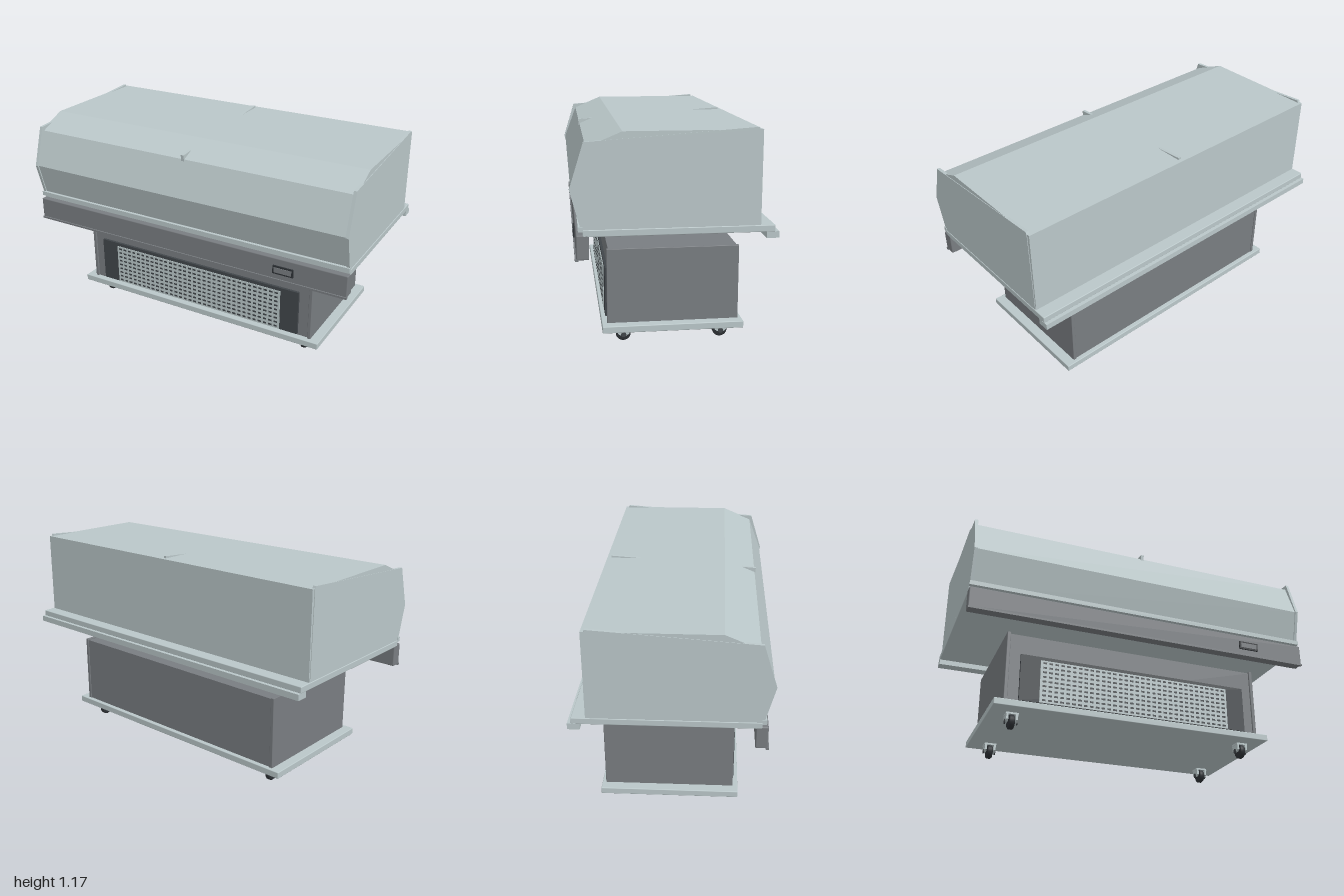
import * as THREE from 'three';
import { mergeGeometries } from 'three/addons/utils/BufferGeometryUtils.js';
import { RoundedBoxGeometry } from 'three/addons/geometries/RoundedBoxGeometry.js';

const material = (name, color) => {
  const m = new THREE.MeshStandardMaterial({ color });
  m.name = name;
  return m;
};

export function createModel() {
  const model = new THREE.Group();
  model.name = 'displayCase';
  const pale = material('pale grey', 0xbac7c9);
  const grey = material('mid grey', 0x797d81);
  const dark = material('charcoal', 0x41464a);
  const black = material('near black', 0x2e3236);

  const add = (name, geometry, mat, parent = model) => {
    const mesh = new THREE.Mesh(geometry, mat);
    mesh.name = name;
    parent.add(mesh);
    return mesh;
  };
  // Box given by its limits on each axis, with an optional edge radius
  const span = ([x0, x1], [y0, y1], [z0, z1], r = 0) => {
    const s = [x1 - x0, y1 - y0, z1 - z0];
    const g = r ? new RoundedBoxGeometry(...s, 2, r) : new THREE.BoxGeometry(...s);
    return g.translate((x0 + x1) / 2, (y0 + y1) / 2, (z0 + z1) / 2);
  };
  // Profile of [z, y] points extruded across x
  const across = (points, width, x = 0) => {
    const shape = new THREE.Shape(points.map(([z, y]) => new THREE.Vector2(z, y)));
    return new THREE.ExtrudeGeometry(shape, { depth: width, bevelEnabled: false })
      .translate(0, 0, -width / 2).rotateY(-Math.PI / 2).translate(x, 0, 0);
  };

  // Canopy skin with sloped brow and kinked front
  add('canopy', across([
    [0.455, 0.692], [0.508, 0.89], [0.433, 1.09], [0.26, 1.163],
    [-0.418, 1.163], [-0.418, 0.692],
  ], 1.988), pale);

  // End panels and centre frame, whose corners poke through the roof
  const frame = [[0.462, 0.692], [0.515, 0.89], [0.445, 1.115], [-0.395, 1.175],
    [-0.402, 1.16], [-0.412, 0.692]];
  for (const s of [-1, 1]) add('endPanel', across(frame, 0.017, s * 0.9885), pale);
  add('centreFrame', across([[0.4, 0.7], [0.44, 1.115], [-0.395, 1.175], [-0.4, 0.7]], 0.018), pale);

  // Deck with its front and rear rails
  add('deck', span([-1, 1], [0.658, 0.693], [-0.49, 0.455], 0.004), pale);
  add('frontRail', span([-1, 1], [0.684, 0.709], [0.453, 0.477]), pale);
  add('rearRail', span([-1, 1], [0.627, 0.66], [-0.51, -0.447]), pale);

  // Front bumper and control plate
  add('bumper', span([-1, 1], [0.544, 0.668], [0.425, 0.487], 0.006), grey);
  add('bumperLip', span([-1, 1], [0.538, 0.549], [0.477, 0.494]), grey);
  add('controlFrame', span([0.583, 0.702], [0.58, 0.627], [0.486, 0.495]), black);
  add('controlFace', span([0.592, 0.693], [0.589, 0.618], [0.494, 0.498]), grey);

  // Machine housing between two side panels
  add('housing', span([-0.735, 0.735], [0.12, 0.518], [-0.365, 0.318]), grey);
  for (const s of [-1, 1]) {
    add('housingSide', span([s * 0.74 - 0.01, s * 0.74 + 0.01], [0.12, 0.525], [-0.37, 0.328], 0.003), grey);
  }

  // Vent grille: dark surround, pale plate, rows of slots
  add('grilleSurround', span([-0.67, 0.67], [0.133, 0.4], [0.315, 0.333]), dark);
  add('grillePlate', span([-0.56, 0.56], [0.135, 0.38], [0.33, 0.336]), pale);
  const slots = [];
  for (let row = 0; row < 9; row++) {
    for (let col = 0; col < 33; col++) {
      slots.push(new THREE.PlaneGeometry(0.021, 0.011)
        .translate((col - 16) * 0.0335, 0.15 + row * 0.0268, 0.3375));
    }
  }
  add('grilleSlots', mergeGeometries(slots), dark);

  // Base plate
  add('basePlate', span([-0.805, 0.805], [0.086, 0.123], [-0.39, 0.355], 0.004), pale);

  // Four casters, each a wheel in a fork
  for (const x of [-0.684, 0.684]) {
    for (const z of [0.239, -0.285]) {
      const caster = new THREE.Group();
      caster.name = 'caster';
      caster.position.set(x, 0, z);
      model.add(caster);
      const tread = [[0, -0.016], [0.034, -0.016], [0.04, -0.009], [0.04, 0.009], [0.034, 0.016], [0, 0.016]];
      const wheel = new THREE.LatheGeometry(tread.map(p => new THREE.Vector2(...p)), 28);
      add('wheel', wheel.rotateZ(Math.PI / 2).translate(0, 0.041, 0), black, caster);
      add('forkTop', span([-0.034, 0.034], [0.076, 0.088], [-0.03, 0.03]), pale, caster);
      for (const s of [-1, 1]) {
        add('forkCheek', across([[0.03, 0.08], [-0.03, 0.08], [-0.03, 0.046], [-0.018, 0.036],
          [0.018, 0.036], [0.03, 0.046]], 0.012, s * 0.026), pale, caster);
        add('axleCap', new THREE.CylinderGeometry(0.014, 0.014, 0.004, 16)
          .rotateZ(Math.PI / 2).translate(s * 0.033, 0.041, 0), dark, caster);
      }
    }
  }
  return model;
}
